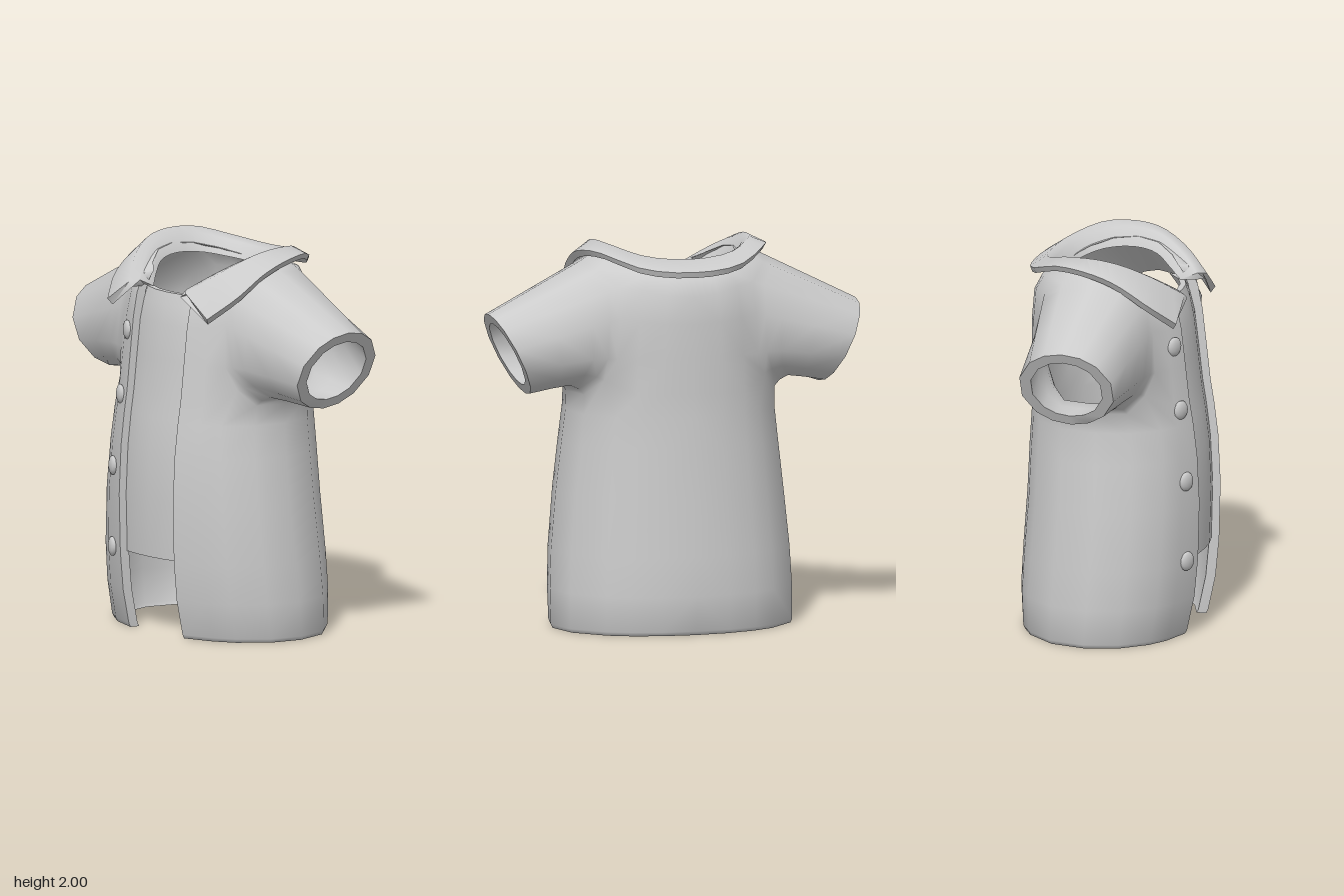
import * as THREE from 'three';
import { toCreasedNormals } from 'three/addons/utils/BufferGeometryUtils.js';

const material = new THREE.MeshStandardMaterial({ color: 0xcccccc });
const V = (x, y, z) => new THREE.Vector3(x, y, z);

// Torso sections: height at side, front and back, half width, front z, back z
const ROWS = [
  [0, 0, 0, 0.63, 0.43, -0.46],
  [0.02, 0.02, 0.02, 0.64, 0.44, -0.47],
  [0.2, 0.2, 0.2, 0.64, 0.48, -0.48],
  [0.4, 0.4, 0.4, 0.63, 0.5, -0.47],
  [0.7, 0.7, 0.7, 0.6, 0.51, -0.45],
  [0.95, 0.95, 0.95, 0.57, 0.5, -0.44],
  [1.12, 1.12, 1.12, 0.55, 0.48, -0.43],
  [1.22, 1.24, 1.24, 0.55, 0.46, -0.43],
  [1.42, 1.42, 1.42, 0.54, 0.44, -0.43],
  [1.66, 1.6, 1.6, 0.52, 0.42, -0.43],
  [1.89, 1.7, 1.74, 0.48, 0.4, -0.42],
  [1.92, 1.76, 1.82, 0.43, 0.38, -0.38],
  [1.93, 1.79, 1.86, 0.39, 0.36, -0.33],
];
const SQUARE = 0.94;

// Point on a torso section; angle 0 is the front, 90 degrees the left side
function torsoPoint([ySide, yFront, yBack, w, zf, zb], angle, inset) {
  const s = Math.sin(angle), c = Math.cos(angle);
  const mid = (zf + zb) / 2, depth = (zf - zb) / 2 - inset;
  return V(
    (w - inset) * Math.pow(Math.abs(s), SQUARE),
    ySide * s * s + (c > 0 ? yFront : yBack) * c * c,
    mid + depth * Math.sign(c) * Math.pow(Math.abs(c), SQUARE));
}
const angleAtX = (row, x, inset) => Math.asin(Math.pow(x / (row[3] - inset), 1 / SQUARE));

// Collects quads and finishes them with smooth normals and sharp edges
function quadBuilder(mirrored) {
  const data = [];
  const quad = (a, b, c, d, flip = false) => {
    const q = flip ? [d, c, b, a] : [a, b, c, d];
    for (const i of [0, 1, 2, 0, 2, 3]) data.push(q[i].x, q[i].y, q[i].z);
    if (mirrored) for (const i of [0, 2, 1, 0, 3, 2]) data.push(-q[i].x, q[i].y, q[i].z);
  };
  const mesh = (name) => {
    const g = new THREE.BufferGeometry();
    g.setAttribute('position', new THREE.Float32BufferAttribute(data, 3));
    const m = new THREE.Mesh(toCreasedNormals(g, 1.15), material);
    m.name = name;
    return m;
  };
  return { quad, mesh };
}

// Two layers of cloth with closed hem, top and front edge
function addCloth(quad, outer, inner, skip, frontRim, endRim) {
  const R = outer.length - 1, C = outer[0].length - 1;
  for (let r = 0; r < R; r++) {
    for (let c = 0; c < C; c++) {
      if (skip(r, c)) continue;
      for (const g of [outer, inner])
        quad(g[r][c], g[r][c + 1], g[r + 1][c + 1], g[r + 1][c], g === inner);
    }
    if (frontRim) quad(inner[r][0], outer[r][0], outer[r + 1][0], inner[r + 1][0]);
    if (endRim) quad(outer[r][C], inner[r][C], inner[r + 1][C], outer[r + 1][C]);
  }
  for (let c = 0; c < C; c++) {
    quad(outer[0][c], inner[0][c], inner[0][c + 1], outer[0][c + 1]);
    quad(outer[R][c], outer[R][c + 1], inner[R][c + 1], inner[R][c]);
  }
}

// Torso and short sleeves as one continuous garment
function shirt() {
  const { quad, mesh } = quadBuilder(true);
  const angles = [35, 48, 69, 90, 113, 137, 150, 165, 180].map(THREE.MathUtils.degToRad);
  const r0 = 7, r1 = 10, c0 = 2, c1 = 6;
  const grid = (inset, opening) => {
    const g = ROWS.map((row) =>
      [angleAtX(row, opening, inset), ...angles].map((a) => torsoPoint(row, a, inset)));
    // Round the corners of the armhole
    for (const [r, dr, amount] of [[r0, 1, 0.4], [r1, -1, 0.15]])
      for (const [c, dc] of [[c0, 1], [c1, -1]])
        g[r][c].lerp(g[r + dr][c + dc], amount);
    return g;
  };
  const outer = grid(0, 0.21), inner = grid(0.05, 0.2);
  addCloth(quad, outer, inner, (r, c) => r >= r0 && r < r1 && c >= c0 && c < c1, true, false);

  // Sleeve rings run from the armhole to the slanted cuff, arched at the armpit
  const sleeve = (g, radius) => {
    const loop = [], cuff = [], arch = [];
    const add = (p, turn) => {
      const phi = (turn - 1.5) * Math.PI / 2;
      const up = Math.sin(phi) * radius;
      loop.push(p);
      arch.push(Math.max(0, -Math.sin(phi)));
      cuff.push(V(0.88 + 0.4 * up, 1.43 + 0.84 * up, -0.04 - radius * Math.cos(phi)));
    };
    const nc = c1 - c0, nr = r1 - r0;
    for (let i = 0; i < nc; i++) add(g[r0][c0 + i], i / nc);
    for (let i = 0; i < nr; i++) add(g[r0 + i][c1], 1 + i / nr);
    for (let i = 0; i < nc; i++) add(g[r1][c1 - i], 2 + i / nc);
    for (let i = 0; i < nr; i++) add(g[r1 - i][c0], 3 + i / nr);
    return [[0, 0], [0.1, 0.03], [0.26, 0.05], [0.6, 0.03], [1, 0]].map(([t, lift]) =>
      loop.map((p, k) => p.clone().lerp(cuff[k], t).add(V(0, lift * arch[k], 0))));
  };
  const so = sleeve(outer, 0.25), si = sleeve(inner, 0.19);
  const n = so[0].length, last = so.length - 1;
  for (let k = 0; k < n; k++) {
    const j = (k + 1) % n;
    for (const s of [so, si])
      for (let i = 0; i < last; i++)
        quad(s[i][k], s[i][j], s[i + 1][j], s[i + 1][k], s === si);
    quad(so[last][k], so[last][j], si[last][j], si[last][k]);
  }
  return mesh('shirtBodyAndSleeves');
}

// Undershirt panel behind the open front
function undershirt() {
  const { quad, mesh } = quadBuilder(true);
  const grid = (inset) => ROWS.slice(3, 12).map((row) =>
    [0, 0.1, 0.2, 0.29].map((x) => {
      const p = torsoPoint(row, angleAtX(row, x, inset), inset);
      p.y = row[1];
      return p;
    }));
  addCloth(quad, grid(0.04), grid(0.07), () => false, false, true);
  return mesh('undershirtPanel');
}

// Folded collar: neck edge, fold and outer edge from back centre to front
function collar() {
  const { quad, mesh } = quadBuilder(false);
  const neck = [[0, 1.84, -0.26], [0.18, 1.85, -0.23], [0.29, 1.87, -0.14], [0.32, 1.88, 0],
    [0.3, 1.86, 0.12], [0.25, 1.81, 0.2], [0.18, 1.76, 0.28]];
  const fold = [[0, 1.94, -0.33], [0.22, 1.96, -0.29], [0.35, 2, -0.16], [0.38, 2.01, 0],
    [0.37, 1.99, 0.13], [0.29, 1.92, 0.28], [0.18, 1.82, 0.41]];
  const edge = [[0, 1.87, -0.44], [0.25, 1.89, -0.39], [0.45, 1.96, -0.19], [0.5, 1.94, 0],
    [0.5, 1.89, 0.13], [0.48, 1.79, 0.28], [0.39, 1.68, 0.41]];
  const steps = 32;
  const curve = (pts) => new THREE.CatmullRomCurve3([
    ...pts.slice(1).reverse().map(([x, y, z]) => V(-x, y, z)),
    ...pts.map((p) => V(...p))]);
  const [A, F, O] = [neck, fold, edge].map(curve);
  const rings = [];
  for (let i = 0; i <= steps; i++) {
    const [a, f, o] = [A, F, O].map((c) => c.getPoint(i / steps));
    const out = V(o.x - a.x, 0, o.z - a.z).normalize();
    rings.push([
      a, f.clone().lerp(a, 0.3), f.clone().lerp(o, 0.2), o,
      o.clone().addScaledVector(out, -0.02).add(V(0, -0.03, -0.01)),
      f.clone().addScaledVector(out, 0.01).add(V(0, -0.05, 0)),
      a.clone().addScaledVector(out, 0.04)]);
  }
  const n = rings[0].length;
  for (let i = 0; i < steps; i++)
    for (let k = 0; k < n; k++) {
      const j = (k + 1) % n;
      quad(rings[i][k], rings[i][j], rings[i + 1][j], rings[i + 1][k], true);
    }
  // Front ends
  for (const [r, flip] of [[rings[0], false], [rings[steps], true]]) {
    quad(r[0], r[6], r[5], r[1], !flip);
    quad(r[1], r[5], r[4], r[2], !flip);
    quad(r[2], r[4], r[4], r[3], !flip);
  }
  return mesh('collar');
}

// Depth of the shirt front at a given place
function frontZ(x, y) {
  const i = ROWS.findIndex((r) => r[1] > y);
  const a = ROWS[i - 1], b = ROWS[i];
  const t = (y - a[1]) / (b[1] - a[1]);
  const row = a.map((v, k) => v + (b[k] - v) * t);
  return torsoPoint(row, angleAtX(row, Math.abs(x), 0), 0).z;
}

export function createModel() {
  const model = new THREE.Group();
  model.name = 'shirt';
  model.add(shirt(), undershirt(), collar());

  // Buttons down the right front edge
  const buttons = new THREE.Group();
  buttons.name = 'buttons';
  const dome = new THREE.SphereGeometry(0.05, 10, 8);
  for (const [x, y] of [[-0.28, 1.53], [-0.29, 1.2], [-0.31, 0.83], [-0.31, 0.41]]) {
    const button = new THREE.Mesh(dome, material);
    button.name = 'button';
    button.scale.z = 0.4;
    button.position.set(x, y, frontZ(x, y));
    button.rotation.y = -0.45;
    buttons.add(button);
  }
  model.add(buttons);
  return model;
}
